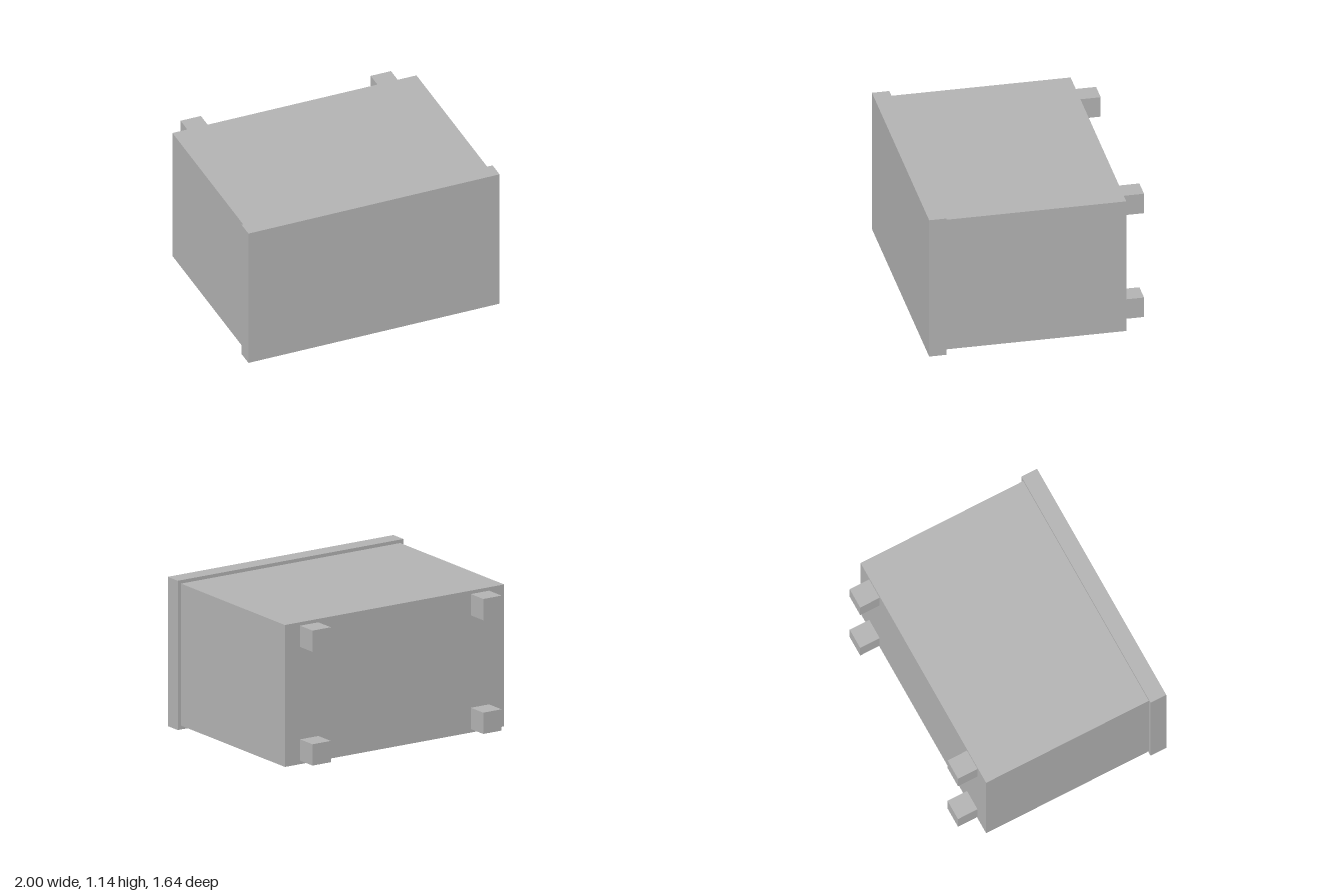
import * as THREE from 'three';

export function createModel() {
  const group = new THREE.Group();
  const grey = new THREE.MeshStandardMaterial({ color: 0xb3b3b3 });
  grey.name = 'grey';

  // Box given by its centre and size
  const box = (name, [x, y, z], [w, h, d]) => {
    const mesh = new THREE.Mesh(new THREE.BoxGeometry(w, h, d), grey);
    mesh.name = name;
    mesh.position.set(x, y, z);
    group.add(mesh);
  };

  // Front panel, slightly larger than the body behind it
  box('frontPanel', [0, 0.568, 0.757], [2, 1.136, 0.13]);
  box('body', [0, 0.57, 0.016], [1.944, 1.08, 1.352]);

  // Four cube feet on the back
  for (const [side, x] of [['left', 0.757], ['right', -0.757]]) {
    for (const [level, y] of [['Upper', 1.003], ['Lower', 0.138]]) {
      box(`${side}${level}BackFoot`, [x, y, -0.741], [0.162, 0.162, 0.162]);
    }
  }
  return group;
}
